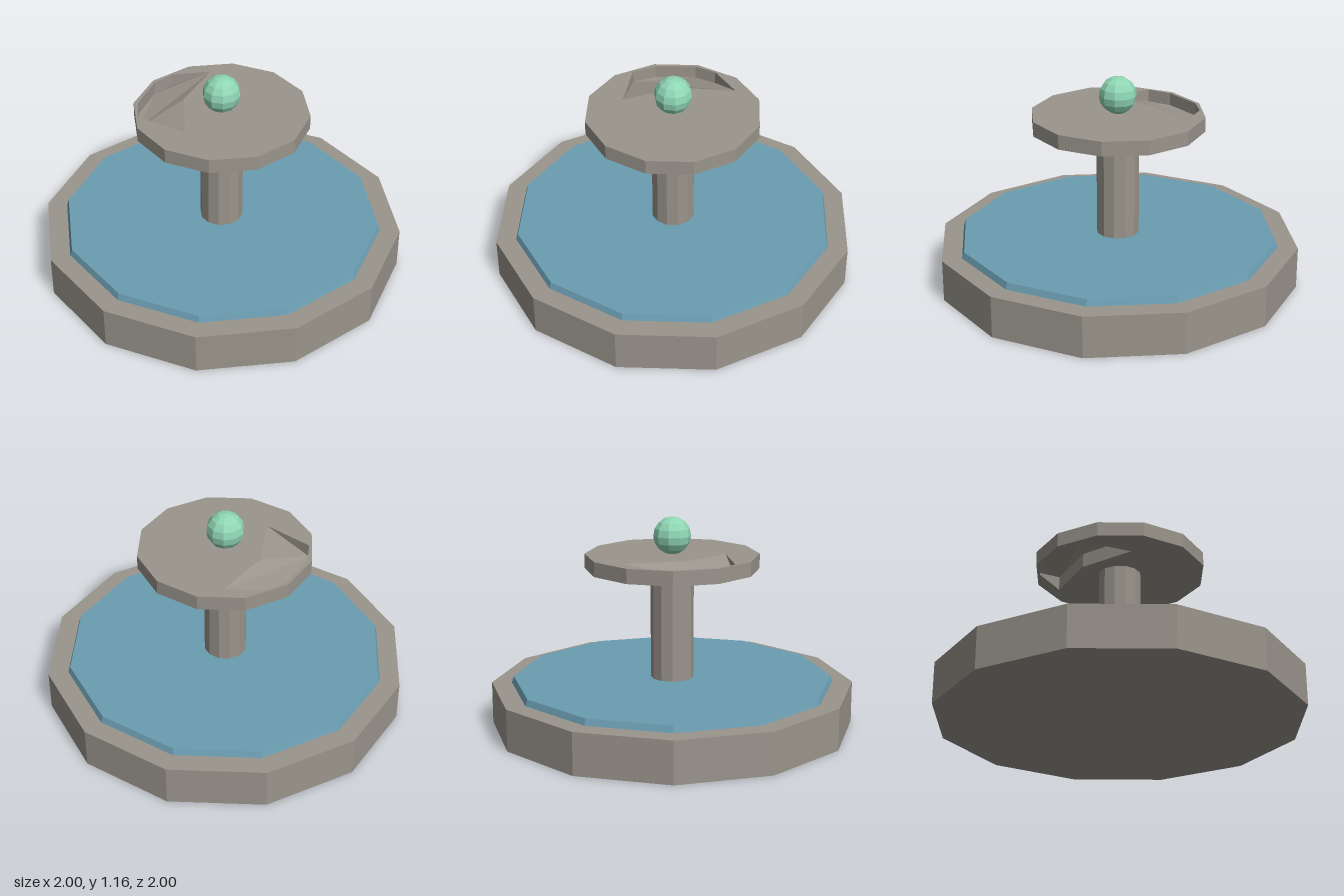
import * as THREE from 'three';

export function createModel() {
  const group = new THREE.Group();
  const material = (name, color, opts = {}) => {
    const m = new THREE.MeshStandardMaterial({ color, ...opts });
    m.name = name;
    return m;
  };
  const stone = material('stone', 0x9a958c, { flatShading: true, side: THREE.DoubleSide });
  const water = material('water', 0x6b9db1, { flatShading: true });
  const jade = material('jade', 0x8fd6b4, { flatShading: true });

  const add = (name, geometry, mat) => {
    const mesh = new THREE.Mesh(geometry, mat);
    mesh.name = name;
    group.add(mesh);
    return mesh;
  };
  // Twelve-sided drum standing between two heights
  const drum = (name, rTop, rBottom, y0, y1, mat) =>
    add(name, new THREE.CylinderGeometry(rTop, rBottom, y1 - y0, 12).translate(0, (y0 + y1) / 2, 0), mat);

  drum('basin', 1, 1, 0, 0.23, stone);
  drum('waterSurface', 0.878, 0.89, 0.23, 0.265, water);
  drum('column', 0.118, 0.118, 0.265, 0.88, stone);

  // Upper dish: twelve-sided slab with a broken notch near its back edge
  const top = 0.955, bottom = 0.875;
  const ring = [];
  for (let i = 0; i < 12; i++) {
    const a = (i * Math.PI) / 6;
    ring.push(new THREE.Vector2(Math.cos(a) * 0.476, Math.sin(a) * 0.476));
  }
  const notch = [
    [-0.435, -0.1], [-0.39, -0.23], [-0.235, -0.39], [-0.12, -0.43],
    [0.09, -0.38], [-0.15, -0.17], [-0.26, 0.13],
  ].map(([x, z]) => new THREE.Vector2(x, z));
  const slab = new THREE.Shape(ring);
  slab.holes.push(new THREE.Path(notch));
  const dish = new THREE.ExtrudeGeometry(slab, { depth: top - bottom, bevelEnabled: false });
  add('upperDish', dish.rotateX(Math.PI / 2).translate(0, top, 0), stone);

  // Notch floor slopes down from the inner edge to the rim
  const floor = new THREE.ShapeGeometry(new THREE.Shape(notch)).rotateX(Math.PI / 2);
  const p = floor.attributes.position;
  for (let i = 0; i < p.count; i++) {
    p.setY(i, Math.hypot(p.getX(i), p.getZ(i)) > 0.42 ? bottom + 0.01 : top);
  }
  floor.computeVertexNormals();
  add('dishNotchFloor', floor, stone);

  // Finial ball
  add('finialBall', new THREE.SphereGeometry(0.103, 10, 8).translate(0, 1.055, 0), jade);

  return group;
}
